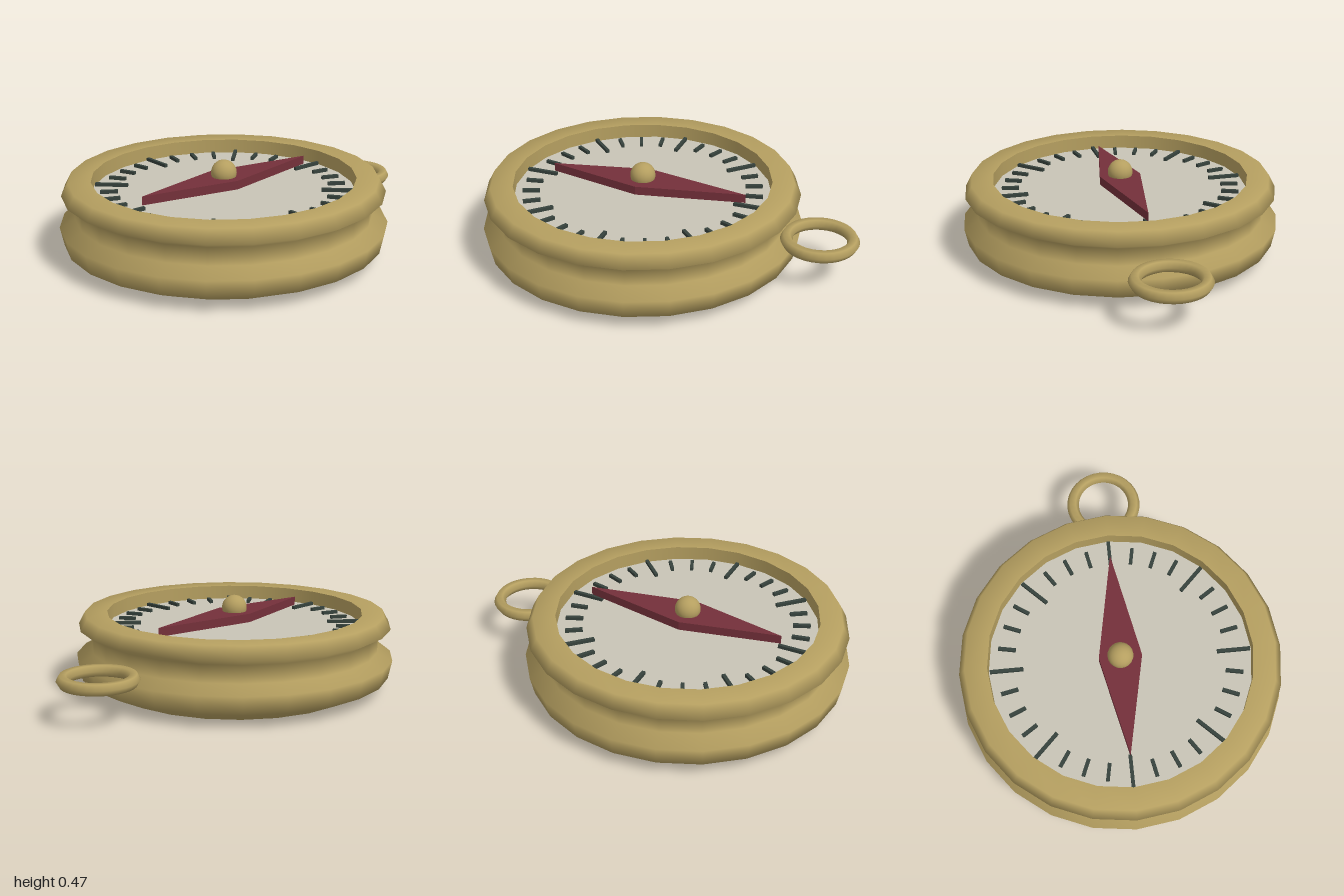
import * as THREE from 'three';

export function createModel() {
  const model = new THREE.Group();
  model.name = 'compass';
  const mat = (color) => new THREE.MeshStandardMaterial({ color });
  const brass = mat(0xb59f60);
  const dialMat = mat(0xc8c4b6);
  const needleMat = mat(0x74303a);
  const tickMat = mat(0x36423c);

  const add = (parent, name, geometry, material, x = 0, y = 0, z = 0) => {
    const mesh = new THREE.Mesh(geometry, material);
    mesh.name = name;
    mesh.position.set(x, y, z);
    parent.add(mesh);
    return mesh;
  };
  const lathe = (points) =>
    new THREE.LatheGeometry(points.map(([r, y]) => new THREE.Vector2(r, y)), 24);

  // Round body, set forward so the hanging ring fits behind it
  const body = new THREE.Group();
  body.name = 'body';
  body.position.z = 0.155;
  model.add(body);

  // Grooved outer case
  add(body, 'case', lathe([
    [0.67, 0], [0.82, 0.07], [0.84, 0.165], [0.76, 0.205],
    [0.76, 0.295], [0.825, 0.33], [0.79, 0.395], [0.675, 0.395],
  ]), brass);

  // Inner wall, open underneath, with a small ledge carrying the dial
  add(body, 'innerWall', lathe([[0.675, 0.395], [0.675, 0.3]]), brass);
  add(body, 'lowerInnerWall', lathe([[0.675, 0.27], [0.67, 0]]), brass);
  add(body, 'dialLedge', lathe([[0.66, 0.3], [0.66, 0.255], [0.675, 0.255]]), brass);

  // Dial plate
  add(body, 'dial', new THREE.CylinderGeometry(0.675, 0.675, 0.06, 24), dialMat, 0, 0.29, 0);

  // Dial marks: a long one every 45 degrees, three short ones between
  const ticks = new THREE.Group();
  ticks.name = 'dialMarks';
  body.add(ticks);
  for (let i = 0; i < 32; i++) {
    const major = i % 4 === 0;
    const a = (i / 32) * Math.PI * 2;
    const r = major ? 0.583 : 0.585;
    const tick = add(ticks, major ? 'longMark' : 'shortMark',
      new THREE.BoxGeometry(0.018, 0.02, major ? 0.17 : 0.09), tickMat,
      Math.sin(a) * r, 0.327, Math.cos(a) * r);
    tick.rotation.y = a;
  }

  // Diamond needle, slightly longer towards the ring
  const diamond = new THREE.Shape();
  diamond.moveTo(0, 0.56);
  diamond.lineTo(-0.11, 0);
  diamond.lineTo(0, -0.51);
  diamond.lineTo(0.11, 0);
  diamond.closePath();
  const needle = new THREE.ExtrudeGeometry(diamond, { depth: 0.045, bevelEnabled: false });
  needle.rotateX(-Math.PI / 2);
  add(body, 'needle', needle, needleMat, 0, 0.345, 0);

  // Centre pivot
  add(body, 'pivot', new THREE.SphereGeometry(0.066, 20, 14), brass, 0, 0.409, 0);

  // Hanging ring
  const ring = new THREE.TorusGeometry(0.168, 0.032, 6, 32);
  ring.rotateX(Math.PI / 2);
  add(model, 'hangingRing', ring, brass, 0, 0.208, -0.8);

  return model;
}
